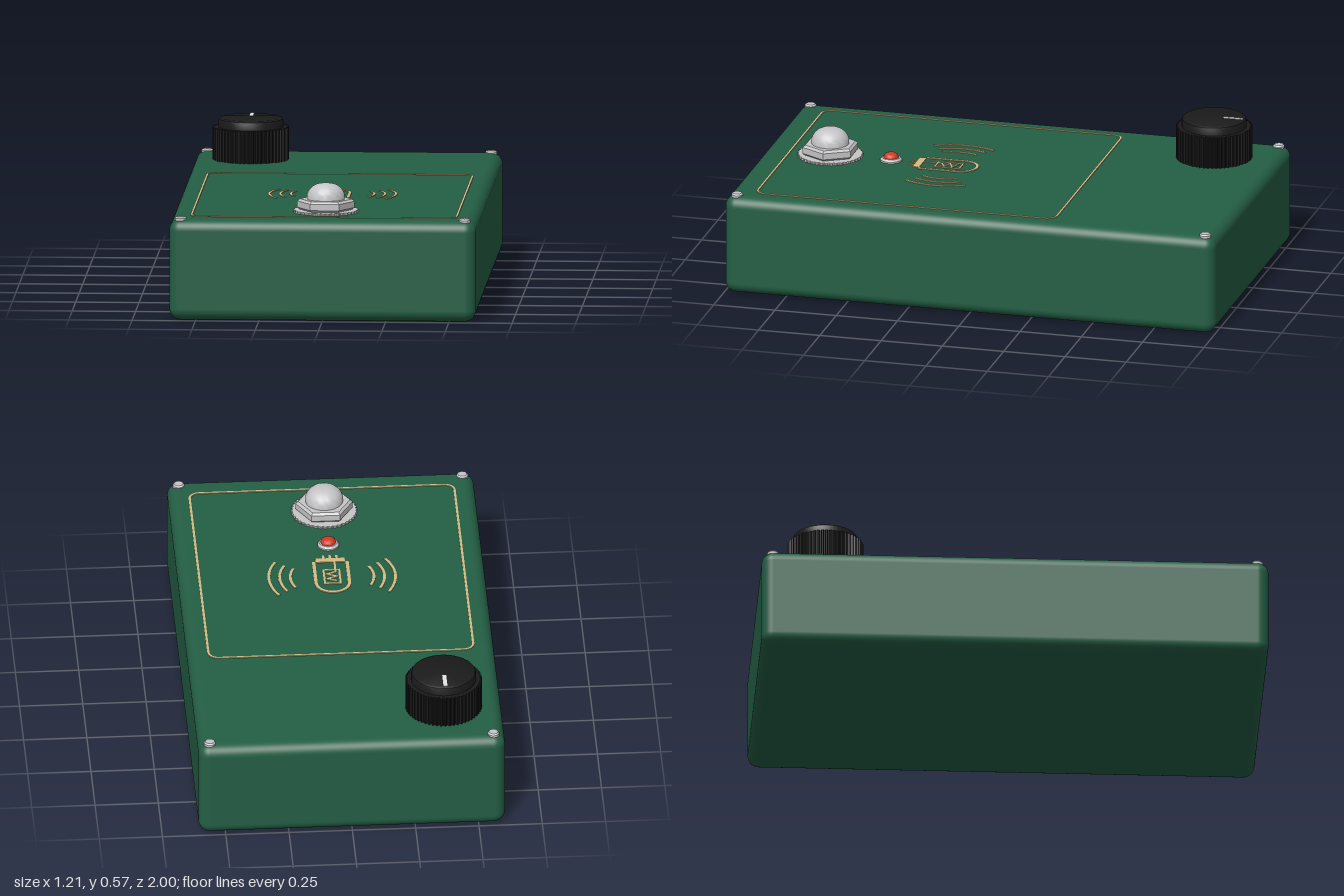
import * as THREE from 'three';
import { toCreasedNormals } from 'three/addons/utils/BufferGeometryUtils.js';
import { RoundedBoxGeometry } from 'three/addons/geometries/RoundedBoxGeometry.js';

const material = (name, color) => {
  const m = new THREE.MeshStandardMaterial({ color });
  m.name = name;
  return m;
};
const V = (x, y) => new THREE.Vector2(x, y);
const TOP = 0.4; // height of the enclosure's upper face

// Turned part from a radius/height profile, listed bottom to top
const turned = (profile, sides = 40) =>
  toCreasedNormals(new THREE.LatheGeometry(profile.map(([r, y]) => V(r, y)), sides), 0.6);

// Extrudes a plan shape (x, z) upwards from y = 0
function slab(shape, height, bevel = 0) {
  const g = new THREE.ExtrudeGeometry(shape, {
    depth: height - 2 * bevel, bevelEnabled: bevel > 0, bevelSize: bevel,
    bevelThickness: bevel, bevelOffset: -bevel, bevelSegments: 1, curveSegments: 12,
  });
  return g.rotateX(Math.PI / 2).translate(0, height - bevel, 0);
}

// Toothed outline, for the knurled knob and the lock washer
function toothed(outer, inner, teeth) {
  const pts = [];
  for (let i = 0; i < teeth * 4; i++) {
    const a = (i / (teeth * 4)) * Math.PI * 2;
    const r = i % 4 < 2 ? outer : inner;
    pts.push(V(r * Math.cos(a), r * Math.sin(a)));
  }
  return new THREE.Shape(pts);
}

// Offsets a path sideways with mitred corners
function offset(pts, d, closed) {
  const n = pts.length;
  return pts.map((p, i) => {
    const before = closed ? pts[(i + n - 1) % n] : pts[Math.max(i - 1, 0)];
    const after = closed ? pts[(i + 1) % n] : pts[Math.min(i + 1, n - 1)];
    const a = p.clone().sub(before).normalize();
    const b = after.clone().sub(p).normalize();
    if (!a.length()) a.copy(b);
    if (!b.length()) b.copy(a);
    const normal = V(-a.y - b.y, a.x + b.x).normalize();
    return p.clone().addScaledVector(normal, d / Math.max(0.4, normal.dot(V(-a.y, a.x))));
  });
}

// Printed line of a given width along a path
function stroke(pts, width, closed = false) {
  const left = offset(pts, width / 2, closed);
  const right = offset(pts, -width / 2, closed);
  if (!closed) return slab(new THREE.Shape([...left, ...right.reverse()]), 0.003);
  const isLeftOuter = Math.abs(THREE.ShapeUtils.area(left)) > Math.abs(THREE.ShapeUtils.area(right));
  const shape = new THREE.Shape(isLeftOuter ? left : right);
  shape.holes.push(new THREE.Path(isLeftOuter ? right : left));
  return slab(shape, 0.003);
}

// Points along a circular arc in plan
function arc(cx, cz, r, from, to, steps = 12) {
  return Array.from({ length: steps + 1 }, (_, i) => {
    const a = from + ((to - from) * i) / steps;
    return V(cx + r * Math.cos(a), cz + r * Math.sin(a));
  });
}

const rectangle = (x0, z0, x1, z1) => [V(x0, z0), V(x1, z0), V(x1, z1), V(x0, z1)];

export function createModel() {
  const green = material('green enamel', 0x245f45);
  const black = material('black plastic', 0x1b1b1b);
  const metal = material('bright metal', 0xc6c6c8);
  const tan = material('tan print', 0xd4bb84);
  const red = material('red lens', 0xd03a22);
  const white = material('white marker', 0xe6e6e6);

  const model = new THREE.Group();
  model.name = 'effectPedal';
  const group = (name, x, y, z) => {
    const g = new THREE.Group();
    g.name = name;
    g.position.set(x, y, z);
    model.add(g);
    return g;
  };
  const add = (parent, name, geometry, mat, x = 0, y = 0, z = 0) => {
    const mesh = new THREE.Mesh(geometry, mat);
    mesh.name = name;
    mesh.position.set(x, y, z);
    parent.add(mesh);
  };

  // Enclosure and lid screws
  add(model, 'enclosure', new RoundedBoxGeometry(1.21, TOP, 2, 6, 0.045), green, 0, TOP / 2, 0);
  const screw = turned([[0.023, -0.02], [0.023, 0.003], [0.018, 0.009], [0.009, 0.011], [0, 0.011]], 20);
  for (const x of [-0.56, 0.56])
    for (const z of [-0.955, 0.955]) add(model, 'lidScrew', screw, metal, x, TOP, z);

  // Control knob: knurled skirt, smooth cap and pointer line
  const knob = group('controlKnob', -0.377, TOP, -0.74);
  add(knob, 'knobSkirt', slab(toothed(0.151, 0.143, 56), 0.128), black);
  add(knob, 'knobCap', turned([[0.128, 0.12], [0.128, 0.152], [0.125, 0.16], [0.117, 0.165], [0, 0.165]], 48), black);
  add(knob, 'knobPointer', new THREE.BoxGeometry(0.016, 0.004, 0.08), white, 0, 0.165, -0.077);

  // Footswitch: toothed washer, hexagonal nut, bushing and domed button
  const foot = group('footswitch', 0, TOP, 0.725);
  add(foot, 'washer', slab(toothed(0.13, 0.125, 40), 0.009), metal);
  const hexagon = new THREE.Shape(arc(0, 0, 0.113, 0, (Math.PI * 5) / 3, 5));
  add(foot, 'nut', slab(hexagon, 0.043, 0.009), metal, 0, 0.008, 0);
  add(foot, 'button', turned([[0.074, 0.04], [0.074, 0.07], [0.07, 0.08], [0.062, 0.092],
    [0.05, 0.103], [0.035, 0.11], [0.018, 0.113], [0, 0.114]]), metal);

  // Indicator lamp
  const lamp = group('indicatorLamp', 0, TOP, 0.477);
  add(lamp, 'lampBezel', turned([[0.043, 0], [0.043, 0.006], [0.036, 0.014], [0.028, 0.014]], 32), metal);
  add(lamp, 'lampLens', turned([[0.03, 0.005], [0.03, 0.016], [0.027, 0.024], [0.02, 0.03], [0.01, 0.033], [0, 0.034]], 28), red);

  // Printed border with rounded corners
  const print = group('printedArtwork', 0, TOP, 0);
  const H = Math.PI / 2, R = 0.04;
  const border = [[0.483, 0.85], [-0.483, 0.85], [-0.483, -0.29], [0.483, -0.29]]
    .flatMap(([x, z], i) => arc(x, z, R, i * H, (i + 1) * H, 6));
  add(print, 'borderLine', stroke(border, 0.009, true), tan);

  // Printed valve: glass, base, pins and heater
  const glass = [V(-0.066, 0.35), ...arc(0, 0.193, 0.066, Math.PI, 2 * Math.PI, 16), V(0.066, 0.35)];
  add(print, 'valveGlass', stroke(glass, 0.013), tan);
  add(print, 'valveBase', slab(new THREE.Shape(rectangle(-0.058, 0.347, 0.058, 0.375)), 0.003), tan);
  for (const x of [-0.026, 0, 0.026])
    add(print, 'valvePin', stroke([V(x, 0.374), V(x, 0.397)], 0.009), tan);
  add(print, 'valvePlate', stroke(rectangle(-0.031, 0.19, 0.031, 0.29), 0.008, true), tan);
  const heater = [-0.018, 0.018, -0.018, 0.018, -0.018].map((x, i) => V(x, 0.207 + i * 0.017));
  add(print, 'valveHeater', stroke(heater, 0.009), tan);
  add(print, 'valveLead', stroke([V(-0.016, 0.275), V(-0.016, 0.35)], 0.008), tan);

  // Printed sound waves on both sides
  for (const side of [1, -1])
    [[0.155, 0.47], [0.197, 0.5], [0.24, 0.53]].forEach(([r, spread]) => {
      const mid = side > 0 ? 0 : Math.PI;
      add(print, 'soundWave', stroke(arc(side * 0.01, 0.237, r, mid - spread, mid + spread), 0.011), tan);
    });

  return model;
}
